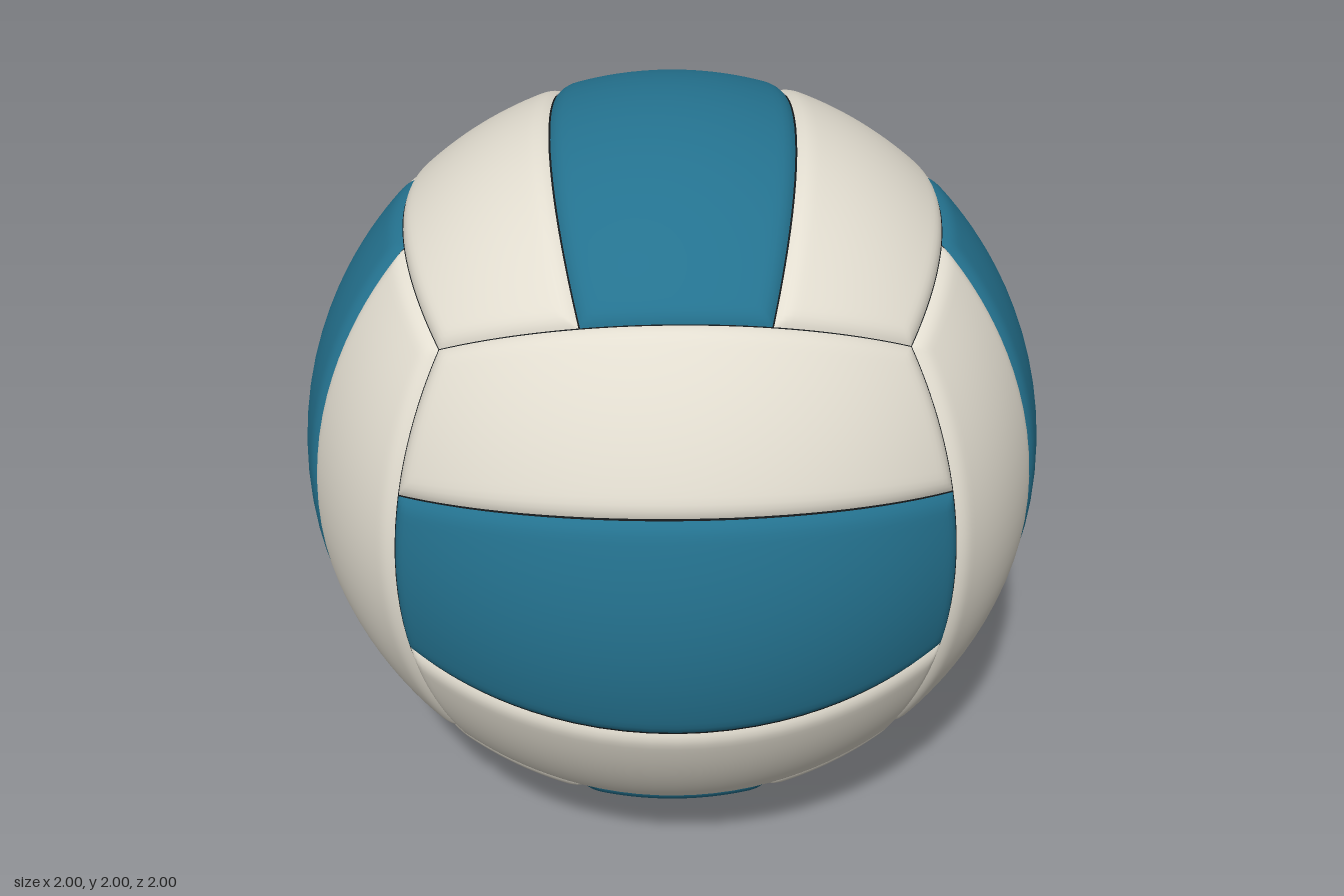
import * as THREE from 'three';

const teal = new THREE.MeshStandardMaterial({ name: 'teal leather', color: 0x24728f });
const cream = new THREE.MeshStandardMaterial({ name: 'cream leather', color: 0xe2ddd0 });
const dark = new THREE.MeshStandardMaterial({ name: 'dark seam', color: 0x15191b });

const GAP = 0.003;    // half width of a seam
const BEVEL = 0.05;   // width of the rounded panel rim
const DEPTH = 0.016;  // how far the rim sinks into the seam

// Sine of the angle from a point on the cube face to the panel edge at value c
const edgeDistance = (a, c, len) => Math.abs(a - c) / (Math.sqrt(1 + c * c) * len);

// One padded panel: a strip of a cube face (v0..v1) pushed out to the sphere
function panelGeometry(n, u, v, v0, v1) {
  const NU = 40, NV = 24, pos = [], index = [];
  // grid lines crowd toward the rims
  const spread = (i, count, a, b) => {
    const t = i / count * 2 - 1;
    const s = 0.25 * t + 0.75 * Math.sin(t * Math.PI / 2);
    return (a + b) / 2 + s * (b - a) / 2;
  };
  const p = new THREE.Vector3();
  for (let j = 0; j <= NV; j++) {
    for (let i = 0; i <= NU; i++) {
      const a = spread(i, NU, -1 + GAP, 1 - GAP);
      const b = spread(j, NV, v0 + GAP, v1 - GAP);
      const len = Math.hypot(1, a, b);
      const d = Math.min(
        edgeDistance(a, -1, len), edgeDistance(a, 1, len),
        edgeDistance(b, v0, len), edgeDistance(b, v1, len));
      const rim = Math.max(0, 1 - d / BEVEL);
      p.copy(n).addScaledVector(u, a).addScaledVector(v, b);
      p.setLength(1 - DEPTH * rim ** 2.5);
      pos.push(p.x, p.y, p.z);
    }
  }
  const row = NU + 1;
  for (let j = 0; j < NV; j++) {
    for (let i = 0; i < NU; i++) {
      const k = j * row + i;
      index.push(k, k + 1, k + row + 1, k, k + row + 1, k + row);
    }
  }
  const geo = new THREE.BufferGeometry();
  geo.setAttribute('position', new THREE.Float32BufferAttribute(pos, 3));
  geo.setIndex(index);
  geo.computeVertexNormals();
  return geo;
}

export function createModel() {
  const ball = new THREE.Group();
  ball.name = 'volleyball';
  ball.position.y = 1;

  // dark core showing through the seams
  const core = new THREE.Mesh(new THREE.SphereGeometry(0.981, 80, 56), dark);
  core.name = 'seamCore';
  ball.add(core);

  // six groups of three strips; the strips turn from side to side
  const X = new THREE.Vector3(1, 0, 0), Y = new THREE.Vector3(0, 1, 0), Z = new THREE.Vector3(0, 0, 1);
  const sides = [
    ['front', 'back', Z, X, Y],
    ['left', 'right', X, Y, Z],
    ['top', 'bottom', Y, Z, X],
  ];
  for (const [plus, minus, n, u, v] of sides) {
    for (const s of [1, -1]) {
      const side = new THREE.Group();
      side.name = (s > 0 ? plus : minus) + 'Panels';
      const normal = n.clone().multiplyScalar(s), along = u.clone().multiplyScalar(s);
      for (let k = -1; k <= 1; k++) {
        const geo = panelGeometry(normal, along, v, (2 * k - 1) / 3, (2 * k + 1) / 3);
        const panel = new THREE.Mesh(geo, k === 0 ? teal : cream);
        panel.name = k === 0 ? 'middlePanel' : 'outerPanel';
        side.add(panel);
      }
      ball.add(side);
    }
  }

  const model = new THREE.Group();
  model.name = 'model';
  model.add(ball);
  return model;
}
